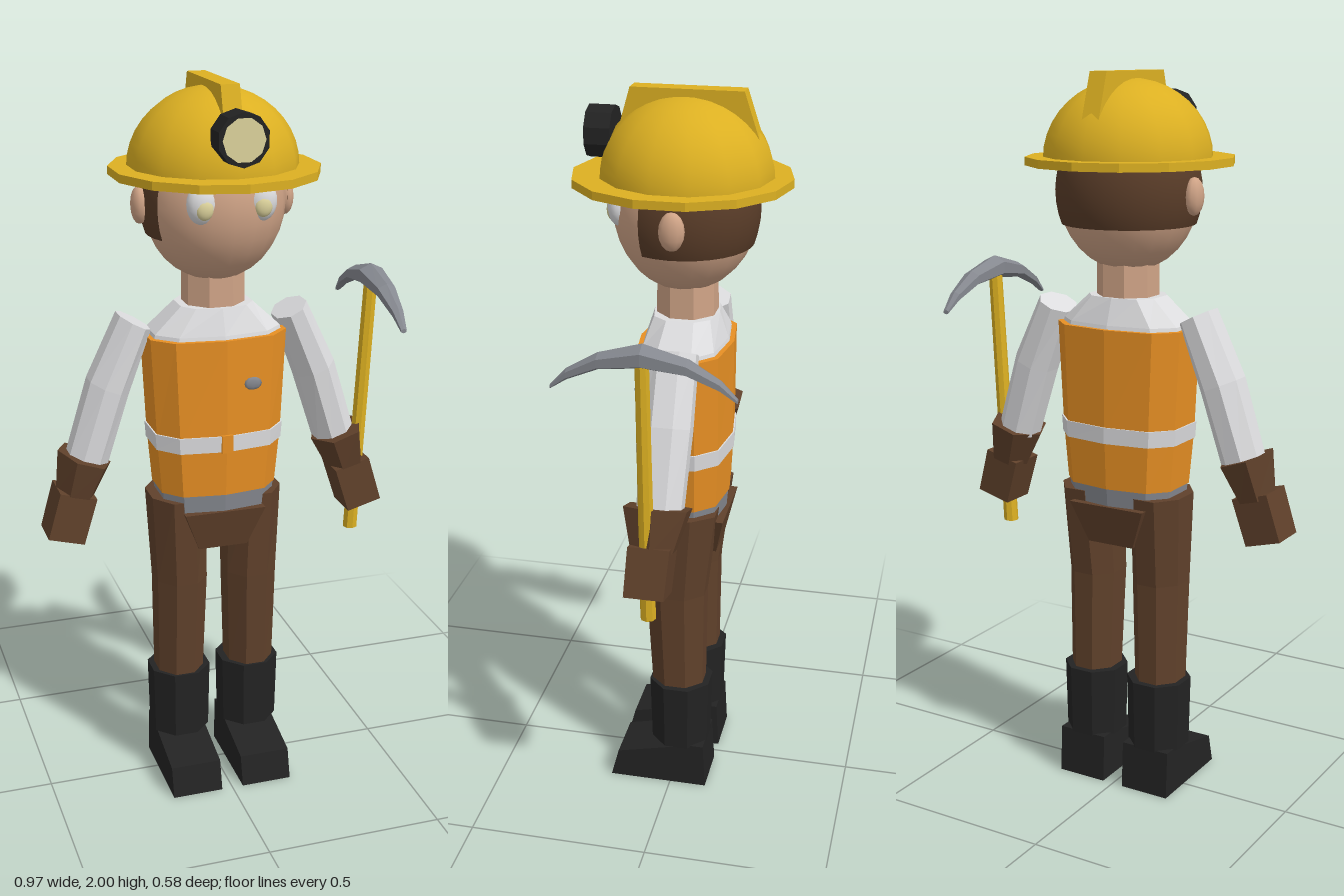
import * as THREE from 'three';

const paint = (name, color) => Object.assign(new THREE.MeshStandardMaterial({ color }), { name });
const M = {
  yellow: paint('helmetYellow', 0xdcb022),
  orange: paint('vestOrange', 0xe89024),
  shirt: paint('shirtWhite', 0xdcdcde),
  skin: paint('skin', 0xd0a487),
  brown: paint('leatherBrown', 0x60412b),
  hair: paint('hairBrown', 0x593c28),
  black: paint('bootBlack', 0x232323),
  steel: paint('steelGrey', 0x85888f),
  cream: paint('lampCream', 0xddd39c),
};

// Gives a geometry one normal per face
function flat(g) {
  const f = g.index ? g.toNonIndexed() : g;
  f.computeVertexNormals();
  return f;
}

// Faceted, capped body through rings [x, y, z, halfWidth, halfDepth, tilt], listed upward
function loft(rings, n, turn = 0, power = 1) {
  const bend = v => Math.sign(v) * Math.abs(v) ** power;
  const unit = [];
  for (let i = 0; i < n; i++) {
    const a = turn + (i / n) * Math.PI * 2;
    unit.push([bend(Math.cos(a)), bend(Math.sin(a))]);
  }
  const mx = Math.max(...unit.map(u => Math.abs(u[0])));
  const mz = Math.max(...unit.map(u => Math.abs(u[1])));
  const pos = [], idx = [];
  for (const [x, y, z, w, d, tilt = 0] of rings) {
    for (const [u, v] of unit) {
      const r = (w * u) / mx;
      pos.push(x + r * Math.cos(tilt), y + r * Math.sin(tilt), z + (d * v) / mz);
    }
  }
  const last = (rings.length - 1) * n, bottom = rings.length * n;
  for (const r of [rings[0], rings[rings.length - 1]]) pos.push(r[0], r[1], r[2]);
  for (let i = 0; i < n; i++) {
    const j = (i + 1) % n;
    for (let k = 0; k < last; k += n) idx.push(k + i, k + n + i, k + j, k + j, k + n + i, k + n + j);
    idx.push(bottom, i, j, bottom + 1, last + j, last + i);
  }
  const g = new THREE.BufferGeometry();
  g.setAttribute('position', new THREE.Float32BufferAttribute(pos, 3));
  g.setIndex(idx);
  return flat(g);
}

// Side outline given as [z, y] points, extruded across x
function sidePlate(points, width) {
  const shape = new THREE.Shape(points.map(p => new THREE.Vector2(...p)));
  const g = new THREE.ExtrudeGeometry(shape, { depth: width, bevelEnabled: false });
  return g.translate(0, 0, -width / 2).rotateY(-Math.PI / 2);
}

const ball = (rx, ry, rz, w = 16, h = 12) => new THREE.SphereGeometry(1, w, h).scale(rx, ry, rz);

export function createModel() {
  const model = new THREE.Group();
  model.name = 'miner';
  const add = (name, geo, mat, x = 0, y = 0, z = 0) => {
    const m = new THREE.Mesh(geo, mat);
    m.name = name;
    m.position.set(x, y, z);
    model.add(m);
    return m;
  };
  const Q = Math.PI / 4;

  // Head, hair and neck
  add('head', ball(0.19, 0.213, 0.188, 20, 16), M.skin, 0, 1.69, -0.01);
  const hair = new THREE.SphereGeometry(1, 20, 8, Math.PI - 0.46, Math.PI + 0.92, 0.9, 1.07);
  add('hair', hair.scale(0.196, 0.219, 0.194), M.hair, 0, 1.69, -0.01);
  add('neck', loft([[0, 1.36, -0.015, 0.08, 0.078], [0, 1.53, -0.015, 0.078, 0.075]], 8, Q / 2), M.skin);

  // Helmet with dome, brim, crest and lamp
  const dome = new THREE.SphereGeometry(1, 14, 10, 0, Math.PI * 2, 0, Math.PI / 2);
  add('helmetDome', dome.rotateY(Math.PI / 2).scale(0.226, 0.207, 0.228), M.yellow, 0, 1.775, -0.012);
  const brim = new THREE.CylinderGeometry(1, 1, 0.022, 14).scale(0.277, 1, 0.289);
  add('helmetBrim', flat(brim), M.yellow, 0, 1.77, 0);
  add('helmetCrest', sidePlate([[0.168, 1.87], [0.13, 2], [-0.162, 2], [-0.205, 1.87]], 0.05), M.yellow);
  add('lampHousing', flat(new THREE.CylinderGeometry(0.068, 0.068, 0.068, 10).rotateX(Math.PI / 2)),
    M.black, 0, 1.88, 0.208);
  add('lampLens', new THREE.CircleGeometry(0.056, 10), M.cream, 0, 1.88, 0.244);

  // Torso: shirt collar, vest, reflective band and waist
  const turn = Math.PI / 10;
  add('collar', loft([[0, 1.32, -0.014, 0.18, 0.118], [0, 1.345, -0.014, 0.175, 0.112],
    [0, 1.415, -0.014, 0.1, 0.088]], 10, turn, 0.75), M.shirt);
  add('vest', loft([[0, 0.895, -0.014, 0.163, 0.12], [0, 1.05, -0.013, 0.176, 0.128],
    [0, 1.335, -0.014, 0.19, 0.127]], 10, turn, 0.7), M.orange);
  add('reflectiveBand', loft([[0, 1.025, -0.013, 0.178, 0.131], [0, 1.07, -0.013, 0.181, 0.132]],
    10, turn, 0.7), M.shirt);
  add('vestOpening', new THREE.BoxGeometry(0.032, 0.05, 0.009), M.orange, 0, 1.048, 0.117);
  add('badge', ball(0.025, 0.018, 0.006, 8, 6), M.steel, 0.075, 1.21, 0.107);
  add('waist', loft([[0, 0.835, -0.014, 0.155, 0.112], [0, 0.9, -0.014, 0.16, 0.117]], 10, turn, 0.7), M.steel);
  add('crotch', loft([[0, 0.73, -0.015, 0.07, 0.096], [0, 0.845, -0.015, 0.115, 0.122]], 4, Q), M.brown);

  for (const s of [1, -1]) {
    const side = s > 0 ? 'left' : 'right';

    // Face
    add(side + 'Ear', ball(0.024, 0.05, 0.034, 10, 8), M.skin, s * 0.199, 1.685, -0.015);
    add(side + 'Eye', ball(0.04, 0.052, 0.03), M.shirt, s * 0.08, 1.71, 0.147);
    add(side + 'Iris', ball(0.024, 0.028, 0.014), M.cream, s * 0.078, 1.7, 0.166);

    // Arm and glove
    add(side + 'Sleeve', loft([
      [s * 0.36, 0.995, -0.02, 0.055, 0.058, s * 0.3],
      [s * 0.295, 1.2, -0.022, 0.056, 0.066, s * 0.4],
      [s * 0.22, 1.375, -0.022, 0.047, 0.065, s * 0.48],
    ], 8, Q / 2), M.shirt);
    add(side + 'GloveCuff', loft([
      [s * 0.398, 0.9, -0.01, 0.053, 0.055, s * 0.26],
      [s * 0.366, 1.008, -0.015, 0.077, 0.083, s * 0.33],
    ], 6), M.brown);
    add(side + 'Hand', loft([
      [s * 0.436, 0.788, -0.002, 0.051, 0.053, s * 0.27],
      [s * 0.397, 0.915, -0.008, 0.052, 0.055, s * 0.27],
    ], 4, Q), M.brown);

    // Leg and boot
    add(side + 'TrouserLeg', loft([
      [s * 0.106, 0.31, -0.015, 0.065, 0.072],
      [s * 0.103, 0.62, -0.008, 0.072, 0.082],
      [s * 0.11, 0.875, -0.018, 0.076, 0.102],
    ], 8, Q / 2), M.brown);
    add(side + 'BootShaft', loft([
      [s * 0.104, 0.13, -0.02, 0.08, 0.08],
      [s * 0.104, 0.33, -0.02, 0.084, 0.085],
    ], 8, Q / 2), M.black);
    add(side + 'BootFoot', sidePlate([[-0.105, 0], [0.177, 0], [0.155, 0.085], [-0.055, 0.135],
      [-0.098, 0.135]], 0.145), M.black, s * 0.104);
  }

  // Pickaxe held in the left hand
  add('pickaxeHandle', loft([[0.414, 0.705, 0.002, 0.021, 0.021], [0.451, 1.44, 0.002, 0.02, 0.018]], 8), M.yellow);
  // Head stations run along z; the loft axis y is swapped to z, so depth becomes height
  const stations = [[0.232, 1.357, 0.008, 0.006], [0.19, 1.393, 0.015, 0.015], [0.11, 1.433, 0.025, 0.022],
    [0, 1.454, 0.034, 0.032]];
  const all = [...stations, ...stations.slice(0, 3).reverse().map(([z, ...r]) => [-z, ...r])];
  const pick = loft(all.reverse().map(([z, y, w, h]) => [0, z, -y, w, h]), 6, Math.PI / 6);
  add('pickaxeHead', pick.rotateX(Math.PI / 2), M.steel, 0.451, 0, 0);

  return model;
}
